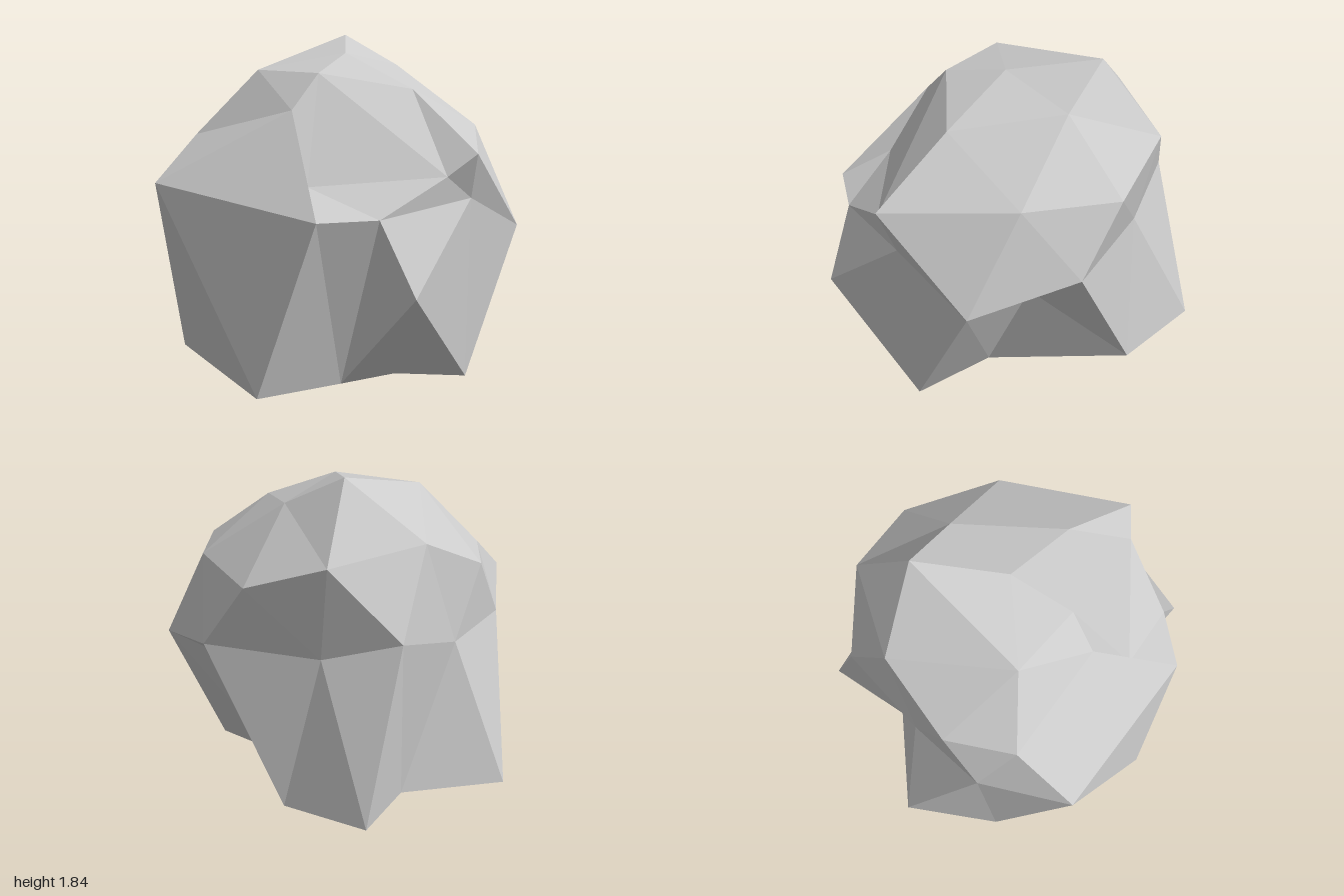
import * as THREE from 'three';

// Cross-section rings, each running front -> +x -> back -> -x, as [x, y, z]
const BASE = [
  [-0.04, 0, 0.97], [0.27, 0.01, 0.58], [0.48, 0.02, 0.32], [0.84, 0.01, 0.17], [0.42, 0.03, -0.06],
  [0.08, 0.07, -0.8], [-0.44, 0.09, -0.97], [-0.49, 0.08, -0.47], [-1, 0.07, -0.14], [-0.82, 0.05, 0.38],
];
const WAIST = [
  [0.3, 0.96, 0.96], [0.56, 0.96, 0.75], [0.77, 0.57, 0.77], [0.88, 1.02, 0.24], [1, 0.8, -0.24], [0.52, 0.71, -0.37],
  [0.57, 0.92, -0.7], [-0.11, 0.91, -0.72], [-0.55, 1.03, -0.69], [-0.71, 0.9, -0.19], [-0.84, 0.95, 0.28], [-0.73, 1.08, 0.81],
];
const SHOULDER = [
  [-0.03, 1.48, 0.55], [0.14, 1.1, 0.72], [0.8, 1.15, 0.4], [0.94, 1.27, 0.32], [0.69, 1.34, -0.4],
  [0.29, 1.29, -0.8], [-0.18, 1.44, -0.82], [-0.59, 1.5, -0.4], [-0.79, 1.29, 0.05], [-0.68, 1.31, 0.44],
];
const CROWN = [
  [0.05, 1.67, 0.38], [0.5, 1.58, 0.13], [0.19, 1.67, -0.43], [-0.16, 1.84, -0.47], [-0.37, 1.67, 0.28],
];

// Joins two closed rings; each letter steps along the lower (l) or upper (u) ring
function stitch(out, lower, upper, steps) {
  let i = 0, j = 0;
  for (const step of steps) {
    const a = lower[i % lower.length], b = upper[j % upper.length];
    if (step === 'l') out.push(a, lower[++i % lower.length], b);
    else out.push(a, upper[++j % upper.length], b);
  }
}

// Closes a ring with a fan around one point
function cap(out, ring, centre, down) {
  ring.forEach((p, i) => {
    const q = ring[(i + 1) % ring.length];
    out.push(...(down ? [q, p, centre] : [p, q, centre]));
  });
}

export function createModel() {
  const corners = [];

  // Foot of the boulder
  cap(corners, BASE, [-0.1, 0.04, 0], true);
  stitch(corners, BASE, WAIST, 'luulluululuululululul' + 'u');

  // One knob and one notch in the waist, each closed by a single facet
  corners.push(WAIST[1], WAIST[2], WAIST[3], WAIST[4], WAIST[5], WAIST[6]);
  const rim = WAIST.filter((_, i) => i !== 2 && i !== 5);

  // Upper body and top
  stitch(corners, rim, SHOULDER, 'ul'.repeat(10));
  stitch(corners, SHOULDER, CROWN, 'llullullululllu');
  cap(corners, CROWN, [0.05, 1.76, 0.01], false);

  const geometry = new THREE.BufferGeometry();
  geometry.setAttribute('position', new THREE.Float32BufferAttribute(corners.flat(), 3));
  geometry.computeVertexNormals();

  const boulder = new THREE.Mesh(geometry, new THREE.MeshStandardMaterial({ color: 0xcccccc, flatShading: true }));
  boulder.name = 'boulder';
  const model = new THREE.Group();
  model.name = 'rock';
  model.add(boulder);
  return model;
}
